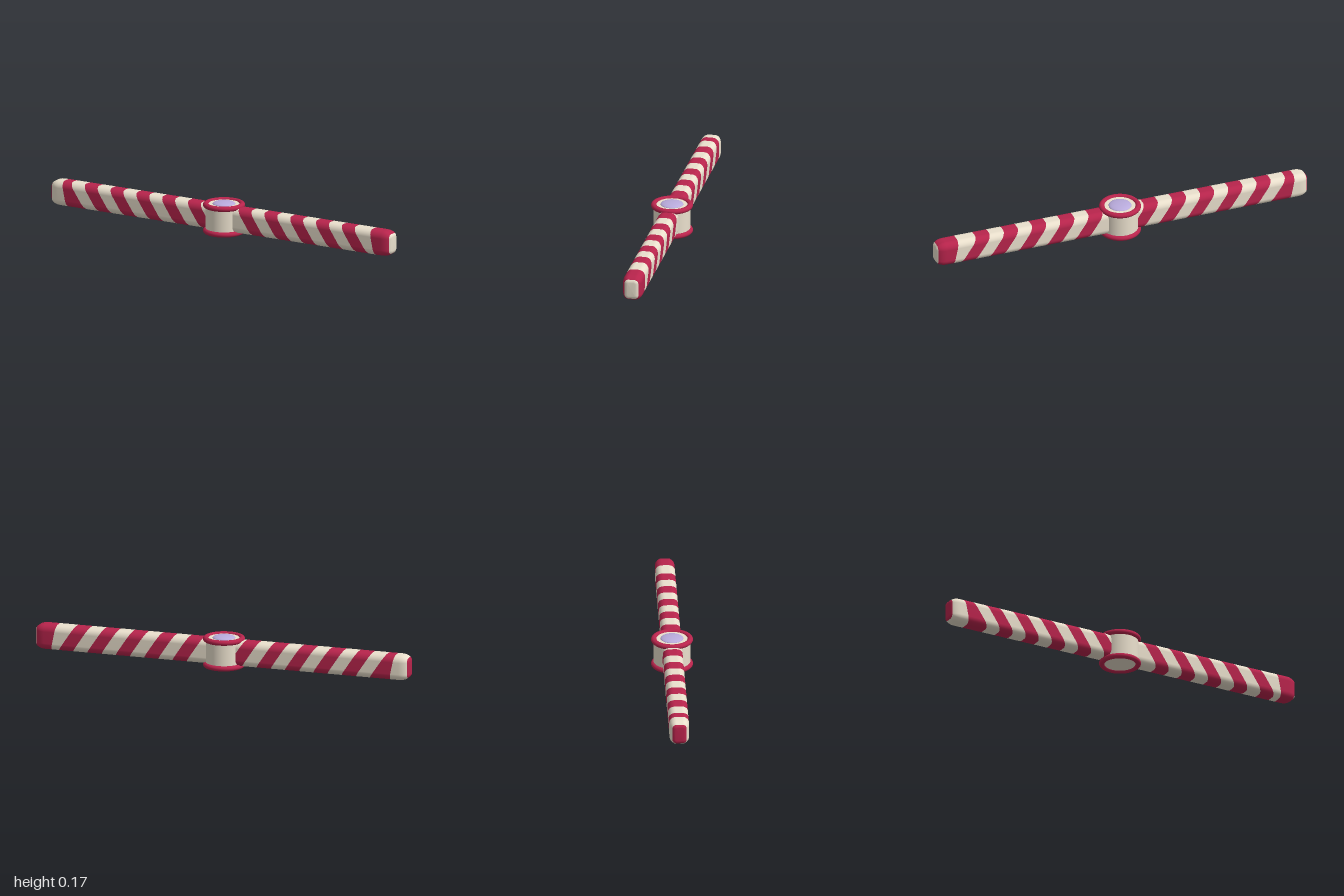
import * as THREE from 'three';

const red = new THREE.MeshStandardMaterial({ color: 0xb8244c });
const cream = new THREE.MeshStandardMaterial({ color: 0xeae0cd });
const lavender = new THREE.MeshStandardMaterial({ color: 0xb9abdc });

const MID = 0.0825, HALF_H = 0.0655, HALF_W = 0.05, CORNER = 0.035;
const STEPS = 8;

// Points of the rounded-rectangle bar section, shrunk by an inset
function section(inset) {
  const r = CORNER - inset, points = [];
  for (let q = 0; q < 4; q++) {
    const sz = q === 0 || q === 3 ? 1 : -1, sy = q < 2 ? 1 : -1;
    for (let i = 0; i <= STEPS; i++) {
      const a = (q + i / STEPS) * Math.PI / 2;
      points.push([sz * (HALF_W - CORNER) + r * Math.cos(a), sy * (HALF_H - CORNER) + r * Math.sin(a)]);
    }
  }
  return points;
}

// Rings along the bar: x at top, x at bottom, inset, and whether the band after it is red
function barRings() {
  const rings = [];
  const R = 0.03, LEN = 0.05;
  const endRing = (side, t, isRed) => {
    const x = side * (1 - LEN + LEN * Math.sin(t));
    rings.push([x, x, R * (1 - Math.cos(t)), isRed]);
  };
  const angles = [1.57, 1.3, 1.01, 0.7, 0.35, 0];
  angles.forEach((t) => endRing(-1, t, t > 1.1));
  // Slanted stripes, regular except for the steeper ones at the ends
  rings.push([-0.927, -0.9, 0, true], [-0.88, -0.79, 0, false]);
  for (let k = 0; k < 10; k++) {
    const x = (k < 5 ? -0.803 : -0.657) + k * 0.152;
    rings.push([x, x + 0.088, 0, true], [x + 0.076, x + 0.164, 0, false]);
  }
  rings.push([0.885, 0.912, 0, true]);
  angles.reverse().forEach((t) => endRing(1, t, t < 0.9));
  return rings;
}

// One smooth bar surface whose bands are split into two colours
function makeBar() {
  const rings = barRings(), position = [], redFaces = [], creamFaces = [];
  const n = 4 * (STEPS + 1);
  for (const [top, bottom, inset] of rings) {
    for (const [z, y] of section(inset)) {
      position.push(THREE.MathUtils.lerp(bottom, top, (y + HALF_H) / (2 * HALF_H)), y + MID, z);
    }
  }
  for (let i = 0; i < rings.length - 1; i++) {
    const faces = rings[i][3] ? redFaces : creamFaces;
    for (let j = 0; j < n; j++) {
      const k = (j + 1) % n, a = i * n, b = a + n;
      faces.push(a + j, b + j, a + k, b + j, b + k, a + k);
    }
  }
  // End caps
  const left = position.length / 3, right = left + 1, last = (rings.length - 1) * n;
  position.push(-1, MID, 0, 1, MID, 0);
  for (let j = 0; j < n; j++) {
    const k = (j + 1) % n;
    redFaces.push(left, j, k);
    creamFaces.push(right, last + k, last + j);
  }
  const whole = new THREE.BufferGeometry();
  whole.setAttribute('position', new THREE.Float32BufferAttribute(position, 3));
  whole.setIndex([...redFaces, ...creamFaces]);
  whole.computeVertexNormals();

  const bar = new THREE.Group();
  bar.name = 'stripedBar';
  for (const [name, faces, material] of [['redStripes', redFaces, red], ['creamStripes', creamFaces, cream]]) {
    const geometry = new THREE.BufferGeometry();
    geometry.setAttribute('position', whole.getAttribute('position'));
    geometry.setAttribute('normal', whole.getAttribute('normal'));
    geometry.setIndex(faces);
    const mesh = new THREE.Mesh(geometry, material);
    mesh.name = name;
    bar.add(mesh);
  }
  return bar;
}

export function createModel() {
  const model = new THREE.Group();
  const add = (name, geometry, material, y) => {
    const mesh = new THREE.Mesh(geometry, material);
    mesh.name = name;
    mesh.position.y = y;
    model.add(mesh);
    return mesh;
  };

  model.add(makeBar());

  // Central drum
  add('hub', new THREE.CylinderGeometry(0.093, 0.093, 0.144, 64), cream, 0.081);

  // Rounded rims at the bottom and top of the drum
  for (const [name, y] of [['bottomRim', 0.0135], ['topRim', 0.148]]) {
    const ring = new THREE.TorusGeometry(0.092, 0.0145, 20, 64).rotateX(Math.PI / 2).scale(1, 0.93, 1);
    add(name, ring, red, y);
  }

  // Shallow domed button on top
  const dome = new THREE.SphereGeometry(0.058, 48, 12, 0, Math.PI * 2, 0, Math.PI / 2).scale(1, 0.23, 1);
  add('button', dome, lavender, 0.1527);

  return model;
}
